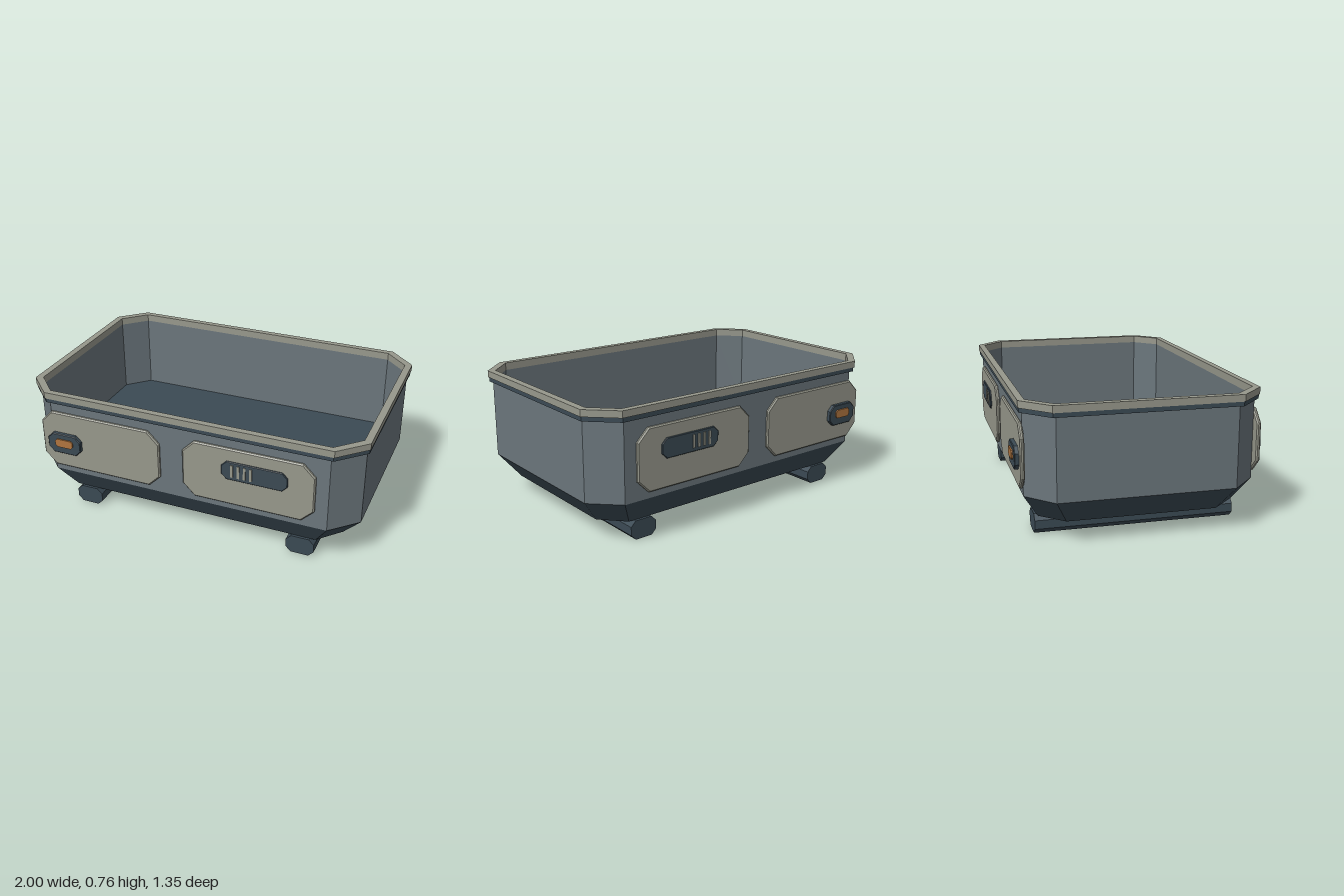
import * as THREE from 'three';

const mat = (name, color, extra = {}) => {
  const m = new THREE.MeshStandardMaterial({ color, ...extra });
  m.name = name;
  return m;
};

// Eight-cornered ring at height y: half sizes hx, hz and corner cuts cx, cz
const ring = (y, hx, hz, cx, cz) => [
  [hx, hz - cz], [hx - cx, hz], [cx - hx, hz], [-hx, hz - cz],
  [-hx, cz - hz], [cx - hx, -hz], [hx - cx, -hz], [hx, cz - hz],
].map(([x, z]) => [x, y, z]);
const centre = (y) => ring(y, 0, 0, 0, 0);

// Skin a chain of rings: rising rings face outward, falling rings face inward
function skin(rings) {
  const pos = [];
  for (let r = 0; r + 1 < rings.length; r++) {
    const a = rings[r], b = rings[r + 1];
    for (let i = 0; i < 8; i++) {
      const j = (i + 1) % 8;
      if (r + 2 > 0) pos.push(...a[i], ...b[i], ...b[j], ...a[i], ...b[j], ...a[j]);
    }
  }
  const g = new THREE.BufferGeometry();
  g.setAttribute('position', new THREE.Float32BufferAttribute(pos, 3));
  g.computeVertexNormals();
  return g;
}

// Rectangle with cut corners, extruded along z and centred on the origin
function plate(w, h, cut, depth, bevel = 0) {
  const x = w / 2, y = h / 2;
  const s = new THREE.Shape([
    [x, cut - y], [x, y - cut], [x - cut, y], [cut - x, y],
    [-x, y - cut], [-x, cut - y], [cut - x, -y], [x - cut, -y],
  ].map(([px, py]) => new THREE.Vector2(px, py)));
  const g = new THREE.ExtrudeGeometry(s, {
    depth: depth - 2 * bevel, bevelEnabled: bevel > 0, bevelSegments: 1,
    bevelSize: bevel, bevelThickness: bevel, bevelOffset: -bevel,
  });
  return g.translate(0, 0, bevel - depth / 2);
}

export function createModel() {
  const grey = mat('wall grey', 0x6b767c, { flatShading: true });
  const dark = mat('dark slate', 0x3b4a54, { flatShading: true });
  const cream = mat('trim cream', 0x97988c, { flatShading: true });
  const orange = mat('lamp orange', 0xb0753f, { flatShading: true });

  const model = new THREE.Group();
  model.name = 'openCrate';
  const add = (name, geo, material, parent = model) => {
    const m = new THREE.Mesh(geo, material);
    m.name = name;
    parent.add(m);
    return m;
  };

  // Tub: skirt, walls, lip, rim, lining and floor
  const base = ring(0.108, 0.87, 0.54, 0.12, 0.13);
  const waist = ring(0.25, 0.98, 0.625, 0.15, 0.145);
  const wallTop = ring(0.695, 0.98, 0.625, 0.15, 0.145);
  const lipLow = ring(0.695, 0.995, 0.642, 0.15, 0.145);
  const lipHigh = ring(0.72, 0.995, 0.642, 0.15, 0.145);
  const rimLow = ring(0.72, 1, 0.647, 0.15, 0.147);
  const rimTop = ring(0.758, 1, 0.647, 0.15, 0.147);
  const innerTop = ring(0.758, 0.96, 0.61, 0.13, 0.13);
  const innerLow = ring(0.715, 0.96, 0.61, 0.13, 0.13);
  const floorEdge = ring(0.26, 0.96, 0.61, 0.13, 0.13);
  add('skirt', skin([centre(0.108), base, waist]), dark);
  add('walls', skin([waist, wallTop]), grey);
  add('lip', skin([wallTop, lipLow, lipHigh]), dark);
  add('rim', skin([lipHigh, rimLow, rimTop, innerTop, innerLow]), cream);
  add('lining', skin([innerLow, floorEdge]), grey);
  add('floor', skin([floorEdge, centre(0.26)]), dark);

  // Runners under the tub
  for (const x of [-0.665, 0.665]) {
    add('runner', plate(0.163, 0.108, 0.03, 1.11), dark).position.set(x, 0.054, 0);
  }

  // Matching panels on the front and back
  for (const side of [1, -1]) {
    const panel = new THREE.Group();
    panel.name = side > 0 ? 'frontPanels' : 'backPanels';
    model.add(panel);
    // Places a plate between depths z0 and z1 of this side
    const put = (name, x, y, w, h, cut, z0, z1, material, bevel) =>
      add(name, plate(w, h, cut, z1 - z0, bevel), material, panel)
        .position.set(x, y, side * (z0 + z1) / 2);

    put('lampPanel', -0.515, 0.465, 0.75, 0.35, 0.07, 0.622, 0.645, cream, 0.007);
    put('ventPanel', 0.38, 0.465, 0.76, 0.35, 0.07, 0.622, 0.645, cream, 0.007);
    put('lampHousing', -0.737, 0.452, 0.21, 0.125, 0.033, 0.64, 0.668, dark, 0.004);
    put('lamp', -0.735, 0.459, 0.112, 0.05, 0.012, 0.667, 0.676, orange);
    put('ventPlate', 0.423, 0.51, 0.376, 0.112, 0.03, 0.64, 0.654, dark, 0.003);
    for (let i = 0; i < 4; i++) {
      put('ventBar', 0.298 + i * 0.036, 0.512, 0.014, 0.075, 0.001, 0.652, 0.659, cream);
    }
  }
  return model;
}
